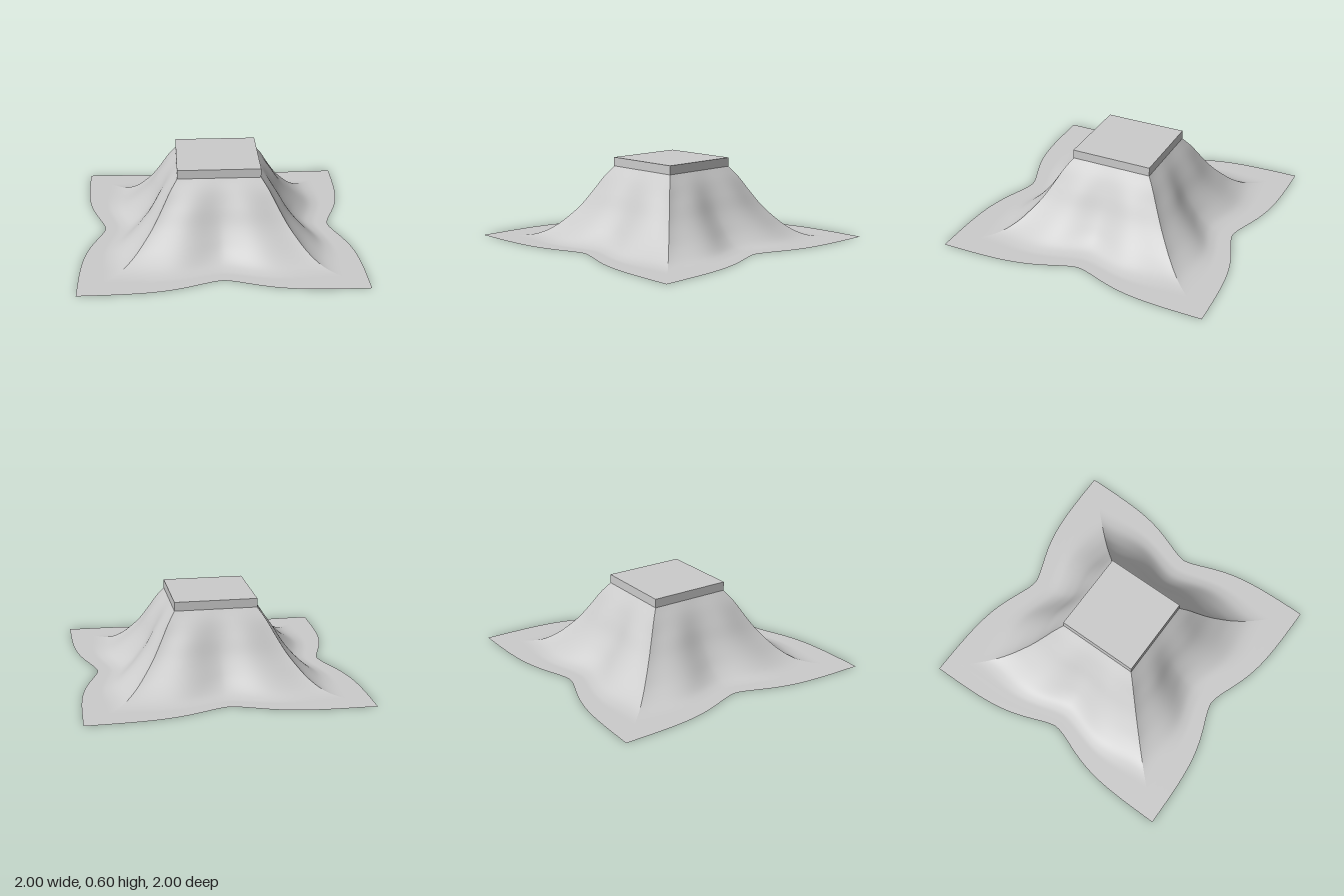
import * as THREE from 'three';

const TOP = 0.595, HALF = 0.3;
const material = new THREE.MeshStandardMaterial({ color: 0xcccccc, side: THREE.DoubleSide });

// Drape rings from lip to hem: distance from the centre at the corner, at the
// fold beside the middle and at the pulled-in middle, then the height.
const RINGS = [
  [0.30, 0.30, 0.30, 0.53],
  [0.355, 0.365, 0.355, 0.45],
  [0.41, 0.435, 0.41, 0.35],
  [0.475, 0.505, 0.465, 0.24],
  [0.54, 0.575, 0.52, 0.155],
  [0.61, 0.655, 0.58, 0.08],
  [0.69, 0.735, 0.65, 0.025],
  [0.77, 0.81, 0.72, 0.003],
  [0.88, 0.89, 0.78, 0],
  [1, 1, 0.84, 0],
];

// Grid surface from a function (u, v) -> [x, y, z]
function sheet(nu, nv, point) {
  const positions = [], index = [];
  for (let j = 0; j <= nv; j++) {
    for (let i = 0; i <= nu; i++) positions.push(...point(i / nu, j / nv));
  }
  for (let j = 0; j < nv; j++) {
    for (let i = 0; i < nu; i++) {
      const a = j * (nu + 1) + i, b = a + nu + 1;
      index.push(a, b, a + 1, a + 1, b, b + 1);
    }
  }
  const geometry = new THREE.BufferGeometry();
  geometry.setAttribute('position', new THREE.Float32BufferAttribute(positions, 3));
  geometry.setIndex(index);
  geometry.computeVertexNormals();
  return geometry;
}

// One quarter of the drape: sloping folds running out into the flat hem
function drapeGeometry() {
  const spread = new THREE.CatmullRomCurve3(
    RINGS.map(([c, f, m]) => new THREE.Vector3(c, f, m)), false, 'catmullrom', 0.5);
  const height = new THREE.CatmullRomCurve3(
    RINGS.map((r) => new THREE.Vector3(0, r[3], 0)), false, 'catmullrom', 0.5);
  return sheet(64, 54, (u, v) => {
    const s = u * 2 - 1;
    const { x: corner, y: fold, z: middle } = spread.getPoint(v);
    const pull = Math.exp(-Math.pow(Math.abs(s) / 0.31, 1.55));
    const out = corner + (fold - corner) * Math.sin(Math.PI * s) ** 2 + (middle - corner) * pull;
    return [s * corner, Math.max(0, height.getPoint(v).y), out];
  });
}

export function createModel() {
  const cloth = new THREE.Group();
  cloth.name = 'drapedCloth';

  const add = (name, geometry, angle = 0) => {
    const mesh = new THREE.Mesh(geometry, material);
    mesh.name = name;
    mesh.rotation.y = angle;
    cloth.add(mesh);
  };

  // Flat square top
  add('clothTop', sheet(1, 1, (u, v) => [(u * 2 - 1) * HALF, TOP, (v * 2 - 1) * HALF]));

  // Four upright lips and four draped sides, creased where they meet
  const lip = sheet(1, 1, (u, v) => [(u * 2 - 1) * HALF, TOP + (RINGS[0][3] - TOP) * v, HALF]);
  const drape = drapeGeometry();
  ['front', 'left', 'back', 'right'].forEach((side, i) => {
    add(side + 'Lip', lip, i * Math.PI / 2);
    add(side + 'Drape', drape, i * Math.PI / 2);
  });
  return cloth;
}
